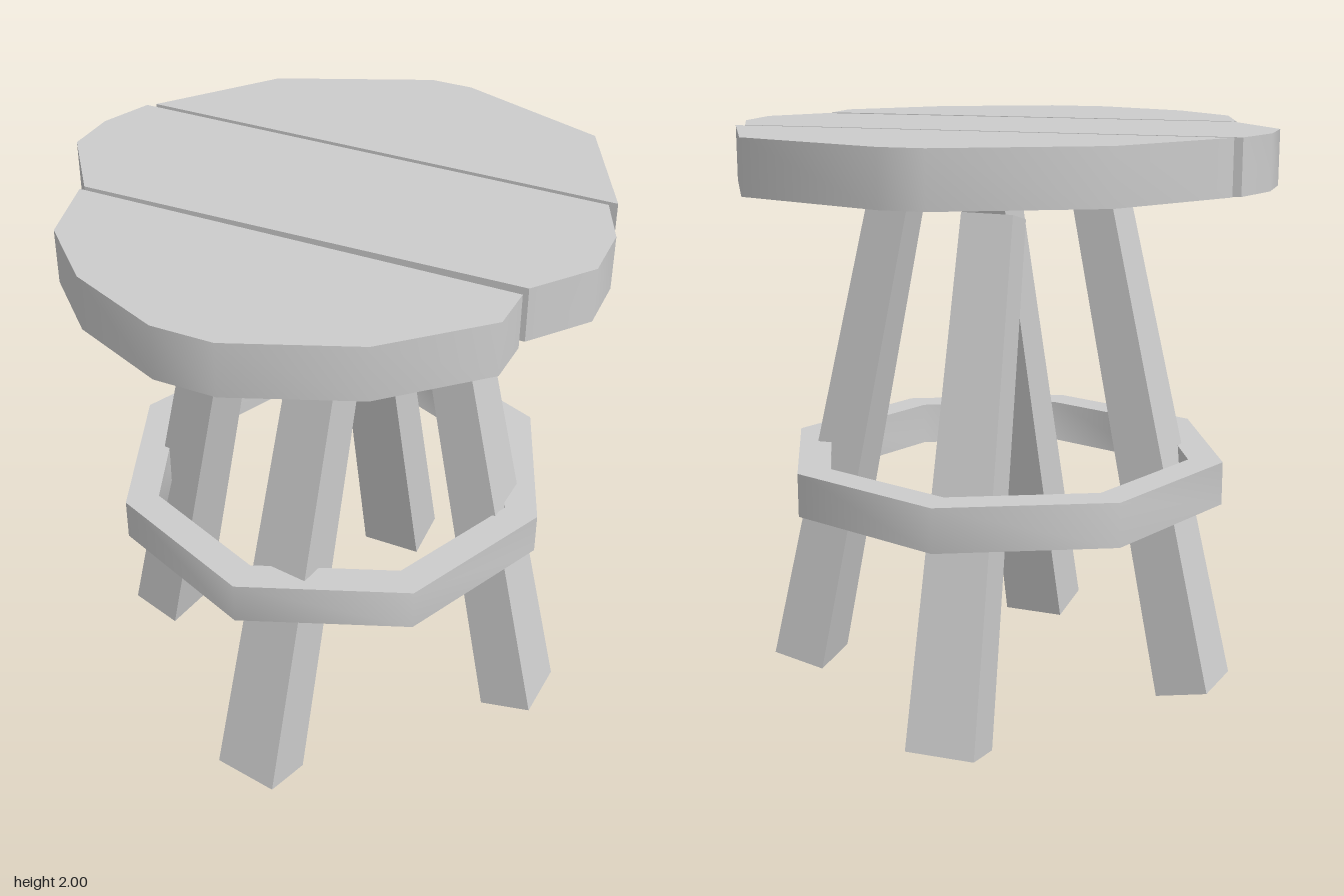
import * as THREE from 'three';
import { toCreasedNormals } from 'three/addons/utils/BufferGeometryUtils.js';

const material = new THREE.MeshStandardMaterial({ color: 0xcccccc });

const toShape = (pts) => new THREE.Shape(pts.map(([x, z]) => new THREE.Vector2(x, z)));

// Flat slab with an (x, z) outline between two heights
function slab(name, shape, bottom, top) {
  const geo = new THREE.ExtrudeGeometry(shape, { depth: top - bottom, bevelEnabled: false });
  geo.rotateX(Math.PI / 2).translate(0, top, 0);
  const mesh = new THREE.Mesh(toCreasedNormals(geo, 0.9), material);
  mesh.name = name;
  return mesh;
}

// Tapered square post between two points; outward is its heading around y
function leg(name, bottom, top, outward) {
  const a = new THREE.Vector3(...bottom);
  const b = new THREE.Vector3(...top);
  const axis = b.clone().sub(a);
  const length = axis.length();
  axis.normalize();
  const radial = new THREE.Vector3(Math.cos(outward), 0, Math.sin(outward));
  radial.addScaledVector(axis, -radial.dot(axis)).normalize();
  const side = radial.clone().cross(axis);

  const geo = new THREE.BoxGeometry(1, 1, 1);
  const p = geo.attributes.position;
  for (let i = 0; i < p.count; i++) {
    const t = p.getY(i) + 0.5;
    p.setXYZ(i,
      p.getX(i) * THREE.MathUtils.lerp(0.193, 0.145, t),
      p.getY(i) * length,
      p.getZ(i) * THREE.MathUtils.lerp(0.236, 0.175, t));
  }
  geo.applyMatrix4(new THREE.Matrix4().makeBasis(radial, axis, side).setPosition(a.add(b).multiplyScalar(0.5)));
  geo.computeVertexNormals();
  const mesh = new THREE.Mesh(geo, material);
  mesh.name = name;
  return mesh;
}

export function createModel() {
  const stool = new THREE.Group();
  stool.name = 'stool';

  // Three rough-cut seat planks
  const planks = {
    backPlank: [[-0.04, -0.94], [0.11, -0.94], [0.635, -0.76], [0.855, -0.33], [-0.84, -0.33], [-0.55, -0.71]],
    middlePlank: [[-0.865, -0.31], [0.83, -0.31], [0.915, -0.125], [0.925, 0.085],
      [0.78, 0.28], [-0.735, 0.305], [-0.93, 0.045], [-0.93, -0.135]],
    frontPlank: [[-0.74, 0.325], [0.775, 0.32], [0.775, 0.485], [0.49, 0.765],
      [0.09, 0.935], [-0.12, 0.935], [-0.45, 0.795], [-0.665, 0.59]],
  };
  for (const [name, pts] of Object.entries(planks)) stool.add(slab(name, toShape(pts), 1.815, 2));

  // Octagonal foot ring
  const octagon = (r) => Array.from({ length: 8 }, (_, i) =>
    [-0.015 + r * Math.cos(i * Math.PI / 4), -0.07 + r * Math.sin(i * Math.PI / 4)]);
  const ring = toShape(octagon(0.78));
  ring.holes.push(toShape(octagon(0.66)));
  stool.add(slab('footRing', ring, 0.73, 0.88));

  // Four splayed legs, each set slightly askew
  const deg = Math.PI / 180;
  stool.add(
    leg('leftLeg', [0.74, 0.027, -0.09], [0.352, 1.735, -0.143], 1 * deg),
    leg('frontLeg', [0.045, 0.027, 0.67], [0.15, 1.735, 0.294], 99 * deg),
    leg('rightLeg', [-0.70, 0.027, 0], [-0.32, 1.735, 0.09], 189 * deg),
    leg('backLeg', [-0.04, 0.027, -0.772], [-0.075, 1.735, -0.381], 271 * deg),
  );
  return stool;
}
